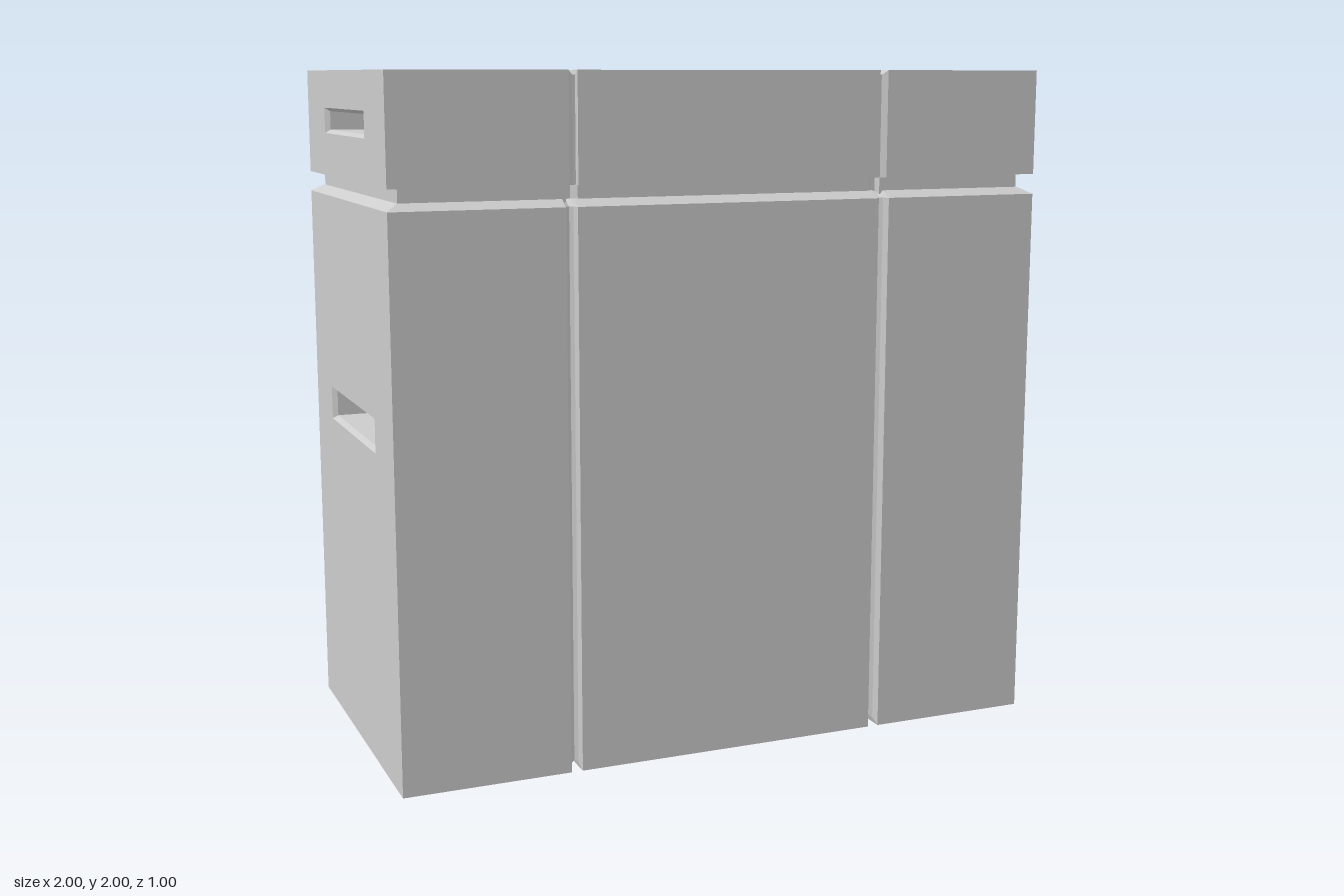
import * as THREE from 'three';

const material = new THREE.MeshStandardMaterial({ color: 0xcccccc, flatShading: true });

// Skin a row of rings, each a list of [x, y, z] running counter-clockwise seen from +x
function loft(rings, capLast = false) {
  const out = [];
  for (let i = 0; i < rings.length - 1; i++) {
    const p = rings[i], q = rings[i + 1], n = p.length;
    for (let j = 0; j < n; j++) {
      const k = (j + 1) % n;
      out.push(...p[j], ...p[k], ...q[k], ...p[j], ...q[k], ...q[j]);
    }
  }
  if (capLast) {
    const r = rings[rings.length - 1];
    for (let j = 1; j < r.length - 1; j++) out.push(...r[0], ...r[j], ...r[j + 1]);
  }
  const g = new THREE.BufferGeometry();
  g.setAttribute('position', new THREE.Float32BufferAttribute(out, 3));
  g.computeVertexNormals();
  return g;
}

const rect = (x, y0, y1, z) => [[x, y0, z], [x, y0, -z], [x, y1, -z], [x, y1, z]];

// Body section with bevelled shoulders; d is the groove depth at this x
const bodyRing = (x, d, top = 1.65, bevel = 0.035) => {
  const z = 0.5 - d;
  return [[x, d, z], [x, d, -z], [x, 1.63, -z], [x, top, bevel - z], [x, top, z - bevel], [x, 1.63, z]];
};

// Mirror a list of [x, depth] stations given for x > 0
const mirrored = (list) => [...list.map(([x, d]) => [-x, d]).reverse(), ...list];

// Flat end panel facing +x with a rectangular slot
function endPanel(y0, y1, s) {
  const shape = new THREE.Shape();
  shape.moveTo(-0.5, y0).lineTo(0.5, y0).lineTo(0.5, y1).lineTo(-0.5, y1).closePath();
  const hole = new THREE.Path();
  hole.moveTo(-s.z, s.y0).lineTo(-s.z, s.y1).lineTo(s.z, s.y1).lineTo(s.z, s.y0).closePath();
  shape.holes.push(hole);
  return new THREE.ShapeGeometry(shape).rotateY(Math.PI / 2).translate(1, 0, 0);
}

// Slightly tapered hand slot sunk into the end
const slotPocket = (s) => loft([
  rect(1, s.y0, s.y1, s.z),
  rect(0.985, s.y0 + 0.01, s.y1 - 0.01, s.z - 0.01),
  rect(0.86, s.y0 + 0.01, s.y1 - 0.01, s.z - 0.01),
], true);

export function createModel() {
  const model = new THREE.Group();
  const add = (name, geometry, parent = model) => {
    const mesh = new THREE.Mesh(geometry, material);
    mesh.name = name;
    parent.add(mesh);
    return mesh;
  };

  // Tall body with two rounded grooves running round front, back and underside
  const bodyStations = mirrored([[0.468, 0], [0.474, 0.02], [0.484, 0.028], [0.494, 0.02], [0.502, 0], [0.965, 0]]);
  add('body', loft([
    bodyRing(-1, 0, 1.63, 0),
    ...bodyStations.map(([x, d]) => bodyRing(x, d)),
    bodyRing(1, 0, 1.63, 0),
  ]));

  // Recessed neck between body and lid
  const neckStations = mirrored([[0.455, 0], [0.47, 0.02], [0.485, 0.02], [0.49, 0], [0.963, 0]]);
  add('neck', loft(neckStations.map(([x, d]) => rect(x, 1.64, 1.7, 0.462 - d)), true));
  const neckEnd = add('neckEnd', new THREE.PlaneGeometry(0.924, 0.06).rotateY(-Math.PI / 2));
  neckEnd.position.set(-0.963, 1.67, 0);

  // Lid with sharp one-sided grooves over the top, front and back
  const lidStations = mirrored([[0.466, 0], [0.469, 0.013], [0.477, 0.013], [0.492, 0], [1, 0]]);
  add('lid', loft(lidStations.map(([x, d]) => rect(x, 1.69, 2 - d, 0.5 - d))));

  // Slotted end panels, the same on both ends
  const slots = [
    { name: 'body', y0: 0.94, y1: 1.04, z: 0.285, bottom: 0, top: 1.63 },
    { name: 'lid', y0: 1.815, y1: 1.89, z: 0.26, bottom: 1.69, top: 2 },
  ];
  for (const [side, angle] of [['left', 0], ['right', Math.PI]]) {
    const end = new THREE.Group();
    end.name = side + 'End';
    end.rotation.y = angle;
    for (const s of slots) {
      add(s.name + 'EndPanel', endPanel(s.bottom, s.top, s), end);
      add(s.name + 'HandSlot', slotPocket(s), end);
    }
    model.add(end);
  }
  return model;
}
